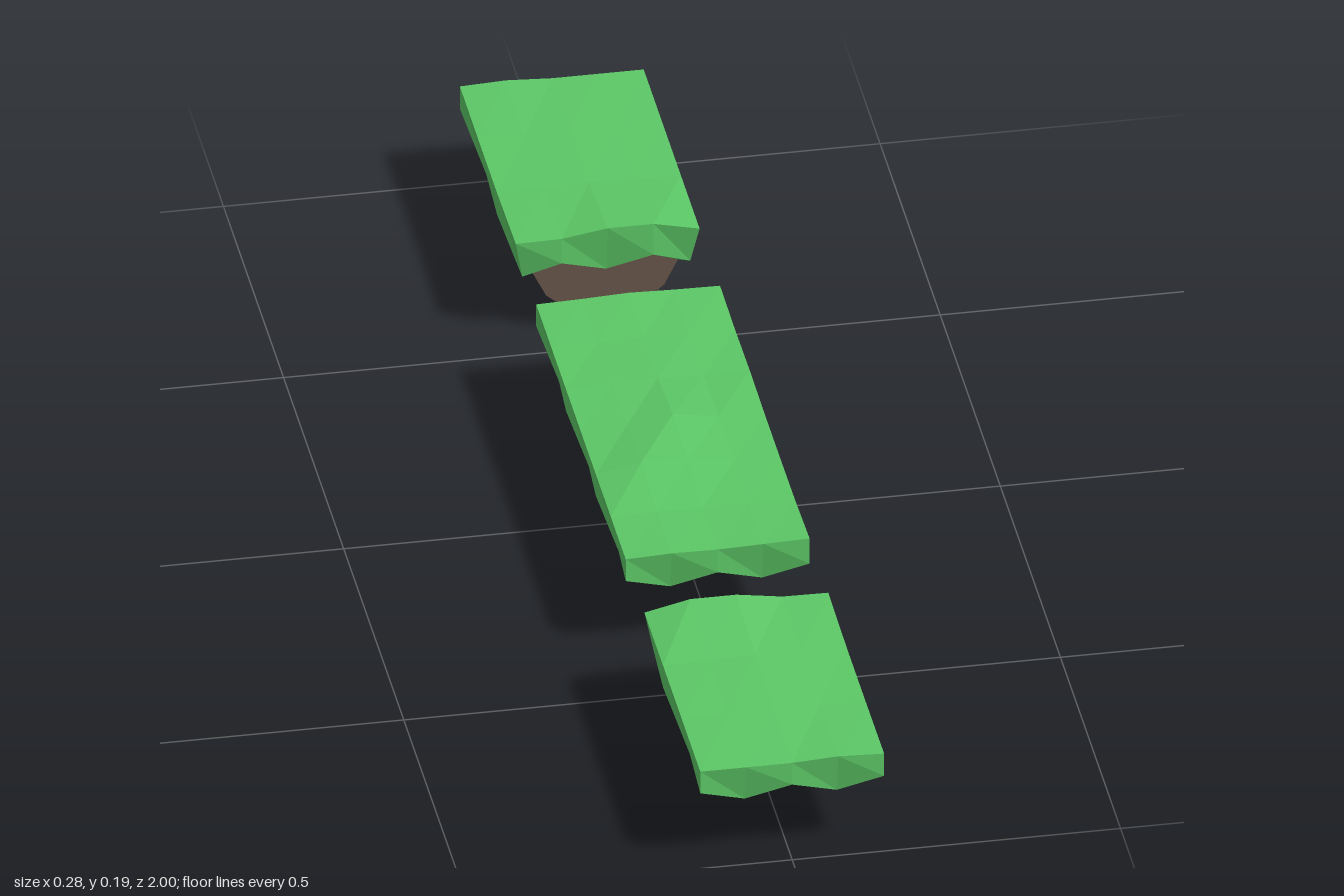
import * as THREE from 'three';

const grassMat = new THREE.MeshStandardMaterial({ color: 0x5cc766, flatShading: true });
const earthMat = new THREE.MeshStandardMaterial({ color: 0x67554a, flatShading: true });
const HALF = 0.14, NX = 4;

function facets(quads, material, name) {
  const pos = [];
  for (const [a, b, c, d] of quads) for (const p of [a, b, c, a, c, d]) pos.push(...p);
  const geo = new THREE.BufferGeometry();
  geo.setAttribute('position', new THREE.Float32BufferAttribute(pos, 3));
  geo.computeVertexNormals();
  const mesh = new THREE.Mesh(geo, material);
  mesh.name = name;
  return mesh;
}

// Join consecutive closed loops with quads
function skin(loops) {
  const quads = [];
  for (let r = 0; r < loops.length - 1; r++) {
    const n = loops[r].length;
    for (let k = 0; k < n; k++) {
      const m = (k + 1) % n;
      quads.push([loops[r][k], loops[r + 1][k], loops[r + 1][m], loops[r][m]]);
    }
  }
  return quads;
}

// Turf slab: bumpy top and a zigzag skirt that curls under
function turf(zMax, zMin, heights, cut) {
  const nz = heights.length - 1;
  const top = (i, j) => [-HALF + (i * 2 * HALF) / NX, heights[j][i], zMax - ((zMax - zMin) * j) / nz];
  const quads = [];
  for (let j = 0; j < nz; j++) for (let i = 0; i < NX; i++)
    quads.push([top(i, j), top(i + 1, j), top(i + 1, j + 1), top(i, j + 1)]);

  const rim = [];
  for (let i = 0; i < NX; i++) rim.push([i, 0]);
  for (let j = 0; j < nz; j++) rim.push([NX, j]);
  for (let i = NX; i > 0; i--) rim.push([i, nz]);
  for (let j = nz; j > 0; j--) rim.push([0, j]);

  const inset = (i, j, d, y) => {
    const [x, , z] = top(i, j);
    const dz = j === 0 ? -d : j === nz ? (cut ? Math.min(d, 0.02) : d) : 0;
    return [x + (i === 0 ? d : i === NX ? -d : 0), y, z + dz];
  };
  const low = (i, j) => (i + j) % 2 === 1;
  quads.push(...skin([
    rim.map(([i, j]) => top(i, j)),
    rim.map(([i, j]) => inset(i, j, low(i, j) ? 0.012 : 0, low(i, j) ? 0.108 : 0.132)),
    rim.map(([i, j]) => inset(i, j, 0.025, low(i, j) ? 0.106 : 0.13)),
    rim.map(([i, j]) => inset(i, j, 0.045, 0.14)),
  ]));
  return facets(quads, grassMat, 'grass');
}

// Tapering earth below: each level is [y, half width, front z, back z]
function earth(levels) {
  const loops = levels.map(([y, w, f, b]) => [[-w, y, f], [w, y, f], [w, y, b], [-w, y, b]]);
  const [a, b, c, d] = loops[loops.length - 1];
  return facets([...skin(loops), [a, d, c, b]], earthMat, 'earth');
}

function platform(name, zMax, zMin, heights, levels, cut) {
  const g = new THREE.Group();
  g.name = name;
  g.add(turf(zMax, zMin, heights, cut), earth(levels));
  return g;
}

export function createModel() {
  const model = new THREE.Group();
  model.name = 'floatingPlatforms';

  // Long middle island
  model.add(platform('middleIsland', 0.38, -0.365, [
    [0.17, 0.173, 0.172, 0.174, 0.176],
    [0.17, 0.172, 0.17, 0.171, 0.171],
    [0.17, 0.185, 0.18, 0.172, 0.17],
    [0.17, 0.174, 0.186, 0.174, 0.17],
    [0.17, 0.173, 0.175, 0.17, 0.172],
    [0.17, 0.17, 0.172, 0.173, 0.17],
    [0.17, 0.172, 0.175, 0.173, 0.172],
  ], [
    [0.145, 0.12, 0.355, -0.34], [0.11, 0.112, 0.325, -0.31],
    [0.066, 0.09, 0.265, -0.245], [0, 0.013, 0.045, -0.025],
  ], false));

  // Half islands at both ends, their cut faces toward the middle
  const endHeights = [
    [0.17, 0.17, 0.17, 0.174, 0.171],
    [0.17, 0.171, 0.172, 0.17, 0.17],
    [0.17, 0.172, 0.174, 0.172, 0.17],
    [0.17, 0.186, 0.186, 0.175, 0.174],
  ];
  const endLevels = [
    [0.145, 0.12, 0.975, 0.555], [0.11, 0.112, 0.935, 0.555],
    [0.066, 0.09, 0.855, 0.555], [0, 0.013, 0.6, 0.555],
  ];
  ['frontIsland', 'backIsland'].forEach((name, k) => {
    const island = platform(name, 1, 0.535, endHeights, endLevels, true);
    island.rotation.y = k * Math.PI;
    model.add(island);
  });
  return model;
}
